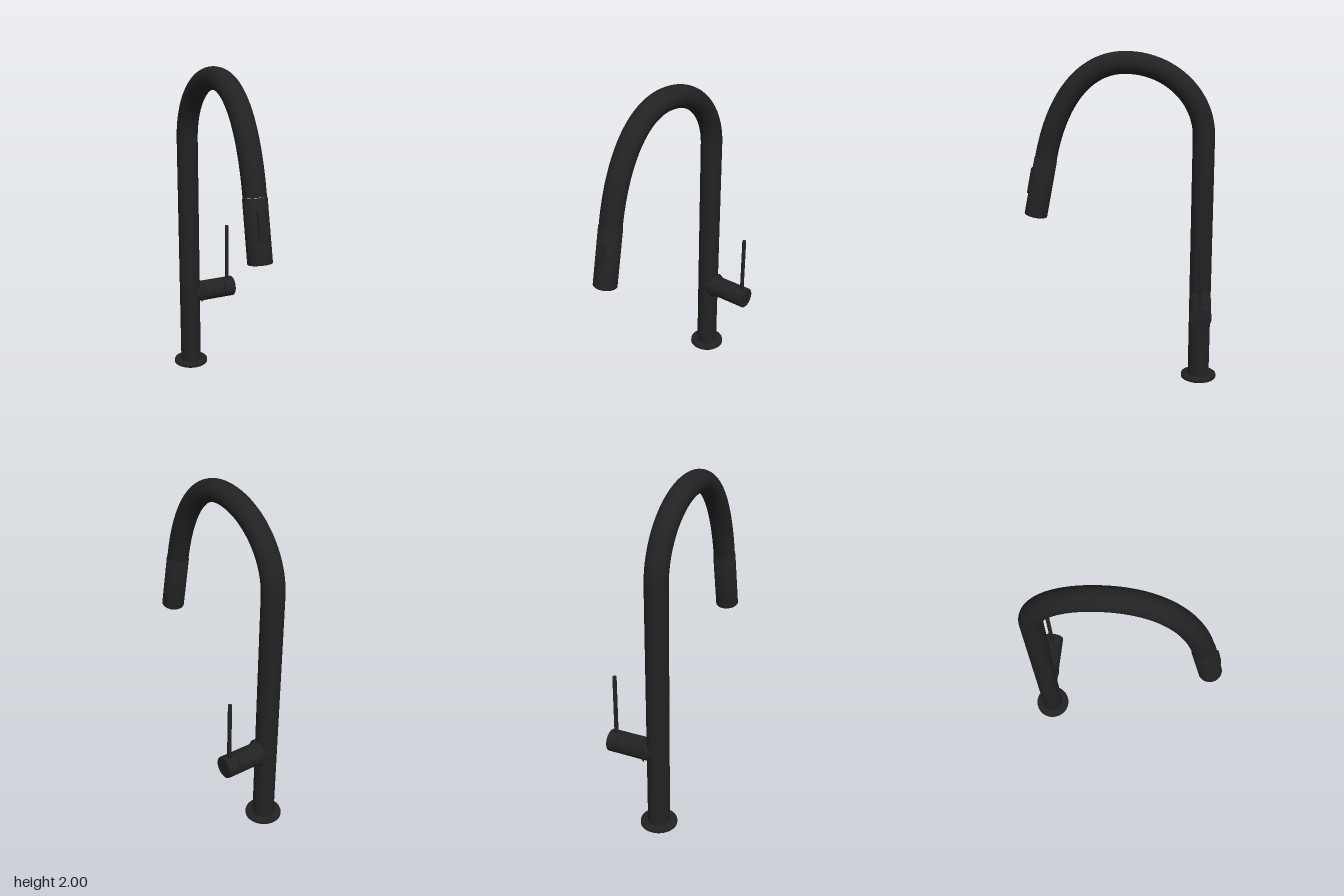
import * as THREE from 'three';
import { toCreasedNormals } from 'three/addons/utils/BufferGeometryUtils.js';
import { RoundedBoxGeometry } from 'three/addons/geometries/RoundedBoxGeometry.js';

const R = 0.065;             // pipe radius
const X = -0.1, Z = -0.48;   // column axis

export function createModel() {
  const model = new THREE.Group();
  model.name = 'faucet';
  const black = new THREE.MeshStandardMaterial({ color: 0x222222 });
  black.name = 'matte black';
  const dark = new THREE.MeshStandardMaterial({ color: 0x151515 });
  dark.name = 'dark rubber';

  const add = (parent, name, geometry, material, x = 0, y = 0, z = 0) => {
    const mesh = new THREE.Mesh(geometry, material);
    mesh.name = name;
    mesh.position.set(x, y, z);
    parent.add(mesh);
    return mesh;
  };
  // Turned part from [radius, height] pairs listed bottom to top
  const turned = (pairs, sides = 64) => toCreasedNormals(
    new THREE.LatheGeometry(pairs.map(([r, h]) => new THREE.Vector2(r, h)), sides), 0.6);

  // Round foot plate
  add(model, 'basePlate', turned([
    [0, 0], [0.104, 0], [0.108, 0.004], [0.108, 0.018], [0.106, 0.023], [0.101, 0.025], [0, 0.025],
  ]), black, X, 0, Z);

  // Lower column with a thin seam at its top
  add(model, 'column', turned([
    [R, 0.02], [R, 0.828], [R - 0.004, 0.829], [R - 0.004, 0.834], [R, 0.835], [R, 0.85],
  ]), black, X, 0, Z);

  // Gooseneck: straight riser, quarter arch, then a longer falling curve
  const p = (z, y) => new THREE.Vector3(X, y, z);
  const path = new THREE.CurvePath();
  path.add(new THREE.LineCurve3(p(Z, 0.845), p(Z, 1.51)));
  path.add(new THREE.CubicBezierCurve3(p(Z, 1.51), p(Z, 1.745), p(-0.275, 1.936), p(-0.02, 1.936)));
  path.add(new THREE.CubicBezierCurve3(p(-0.02, 1.936), p(0.22, 1.936), p(0.385, 1.72), p(0.455, 1.372)));
  add(model, 'gooseneck', new THREE.TubeGeometry(path, 140, R, 48, false), black);

  // Pull-out spray head, tilted along the end of the neck
  const head = new THREE.Group();
  head.name = 'sprayHead';
  head.position.set(X, 1.02, 0.525);
  head.rotation.x = -0.196;
  model.add(head);
  add(head, 'headShell', turned([
    [0.055, 0.012], [0.055, 0.002], [0.057, 0], [0.066, 0], [0.069, 0.003],
    [0.068, 0.352], [0.066, 0.356], [0.05, 0.356],
  ]), black);
  add(head, 'sprayFace', new THREE.CylinderGeometry(0.056, 0.056, 0.01, 48), dark, 0, 0.013, 0);
  for (const [radius, count] of [[0.044, 18], [0.028, 12], [0.012, 6]]) {
    for (let i = 0; i < count; i++) {
      const a = (i / count) * Math.PI * 2;
      add(head, 'nozzle', new THREE.CylinderGeometry(0.004, 0.003, 0.012, 8), black,
        radius * Math.cos(a), 0.005, radius * Math.sin(a));
    }
  }
  // Spray button standing slightly proud, with its thin dark outline
  add(head, 'buttonGap', new RoundedBoxGeometry(0.058, 0.168, 0.04, 3, 0.006), dark, 0, 0.21, 0.0445);
  add(head, 'sprayButton', new RoundedBoxGeometry(0.052, 0.16, 0.04, 3, 0.006), black, 0, 0.21, 0.0545);

  // Side valve body, lying along +x
  const valve = new THREE.Group();
  valve.name = 'valve';
  valve.position.set(X, 0.495, Z);
  valve.rotation.z = -Math.PI / 2;
  model.add(valve);
  add(valve, 'valveBody', turned([[R, 0], [R, 0.229], [R - 0.004, 0.23]]), black);
  add(valve, 'valveSeam', new THREE.CylinderGeometry(R - 0.004, R - 0.004, 0.012, 48), dark, 0, 0.232, 0);
  add(valve, 'valveCap', turned([
    [R - 0.004, 0.233], [R, 0.234], [R, 0.3], [R - 0.004, 0.304], [0, 0.304],
  ]), black);

  // Fillet where valve meets column, kept within the column's width
  const fillet = new THREE.LatheGeometry([
    [0.08, 0.058], [0.076, 0.068], [0.071, 0.074], [0.067, 0.08], [R, 0.09],
  ].map(([r, h]) => new THREE.Vector2(r, h)), 64);
  const pos = fillet.attributes.position;
  for (let i = 0; i < pos.count; i++) {
    pos.setZ(i, THREE.MathUtils.clamp(pos.getZ(i), -R, R));
  }
  fillet.computeVertexNormals();
  add(valve, 'valveFillet', fillet, black);

  // Thin upright lever
  add(model, 'lever', turned([
    [0.012, 0], [0.012, 0.363], [0.01, 0.366], [0, 0.366],
  ], 24), black, 0.167, 0.554, Z);
  add(model, 'leverCollar', new THREE.CylinderGeometry(0.014, 0.014, 0.01, 24), dark, 0.167, 0.557, Z);

  return model;
}
